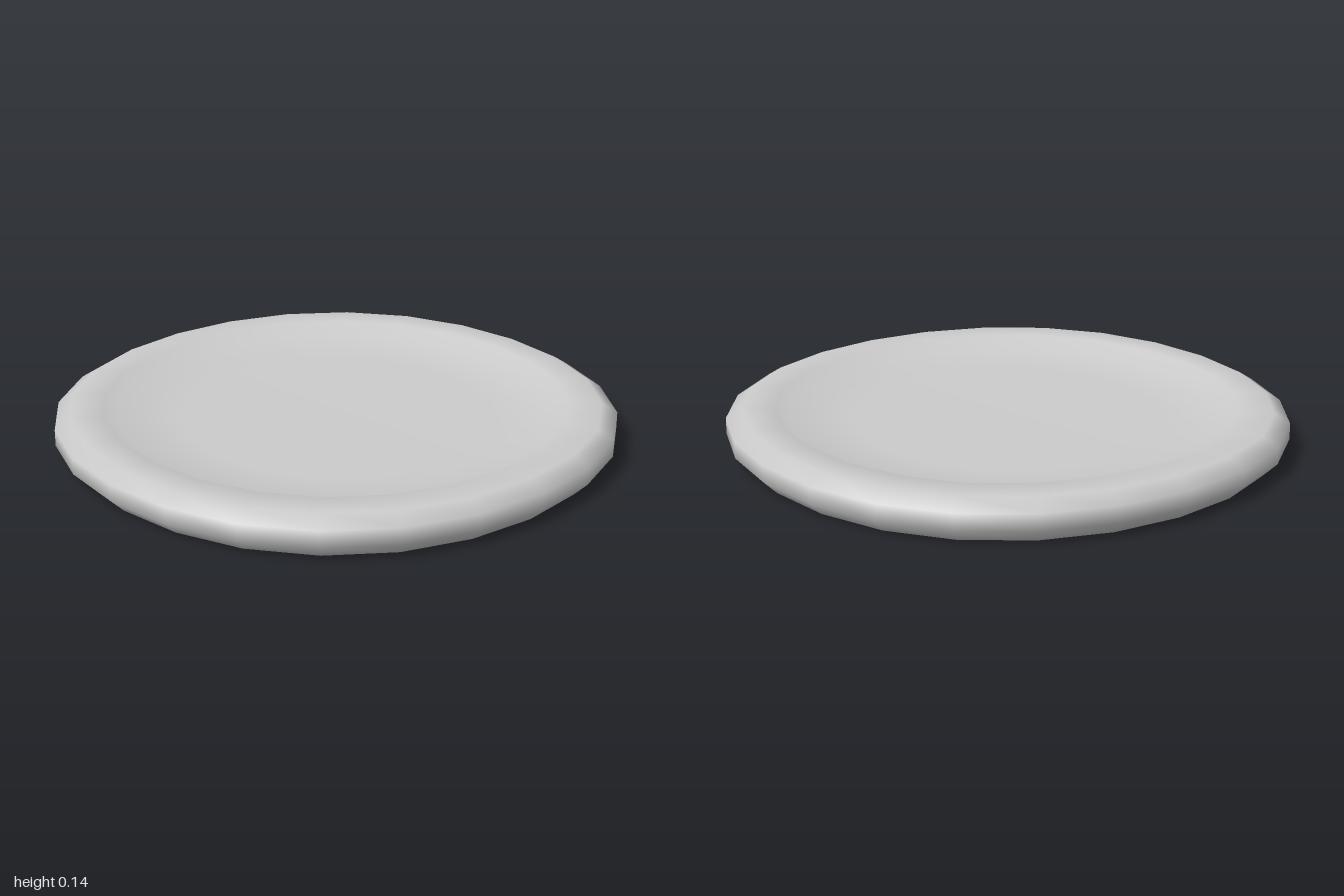
import * as THREE from 'three';

export function createModel() {
  const model = new THREE.Group();
  model.name = 'plate';
  const material = new THREE.MeshStandardMaterial({ color: 0xcccccc });

  // Closed profile: base, outer edge, flat rim, short steep wall and shallow floor
  const profile = [
    [0, 0], [0.95, 0],
    [1, 0.05], [1, 0.11],
    [0.945, 0.145], [0.83, 0.145],
    [0.785, 0.1], [0.56, 0.085], [0, 0.085],
  ].map(([r, y]) => new THREE.Vector2(r, y));

  const geometry = new THREE.LatheGeometry(profile, 24);

  // The outline swells slightly along the diagonals
  const position = geometry.attributes.position;
  for (let i = 0; i < position.count; i++) {
    const x = position.getX(i), z = position.getZ(i);
    const swell = 1 + 0.018 * Math.sin(2 * Math.atan2(z, x)) ** 2;
    position.setX(i, x * swell);
    position.setZ(i, z * swell);
  }

  const dish = new THREE.Mesh(geometry, material);
  dish.name = 'dish';
  model.add(dish);
  return model;
}
